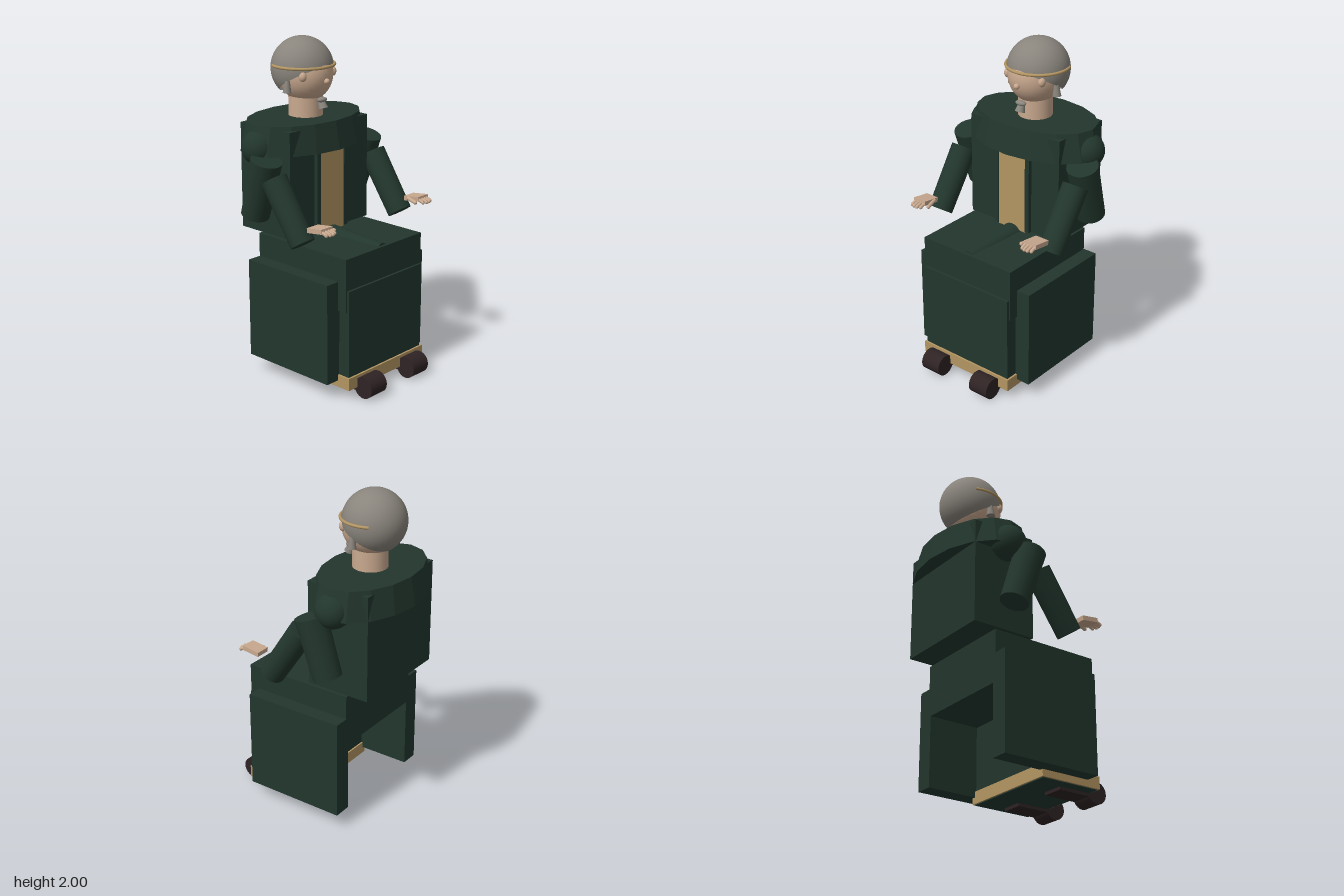
import * as THREE from 'three';

const paint = (name, color) => {
  const m = new THREE.MeshStandardMaterial({ color });
  m.name = name;
  return m;
};

export function createModel() {
  const root = new THREE.Group();
  root.name = 'seatedFigure';
  const green = paint('robe green', 0x22362d);
  const gold = paint('gold trim', 0xb39562);
  const skin = paint('skin', 0xc9a98f);
  const grey = paint('hair grey', 0x89847c);
  const brown = paint('shoe brown', 0x2f2324);

  const add = (name, geo, mat, x = 0, y = 0, z = 0) => {
    const mesh = new THREE.Mesh(geo, mat);
    mesh.name = name;
    mesh.position.set(x, y, z);
    root.add(mesh);
    return mesh;
  };
  // Box given by its min and max on each axis
  const box = (name, mat, x0, x1, y0, y1, z0, z1) =>
    add(name, new THREE.BoxGeometry(x1 - x0, y1 - y0, z1 - z0), mat,
      (x0 + x1) / 2, (y0 + y1) / 2, (z0 + z1) / 2);
  const ball = (name, mat, r, x, y, z, sx = 1, sy = 1, sz = 1) => {
    const m = add(name, new THREE.SphereGeometry(r, 32, 20), mat, x, y, z);
    m.scale.set(sx, sy, sz);
    return m;
  };
  // Tapered cylinder between two points
  const limb = (name, mat, a, b, ra, rb, seg = 20) => {
    const p = new THREE.Vector3(...a), q = new THREE.Vector3(...b);
    const d = q.clone().sub(p);
    const m = add(name, new THREE.CylinderGeometry(rb, ra, d.length(), seg), mat);
    m.position.copy(p).add(q).multiplyScalar(0.5);
    m.quaternion.setFromUnitVectors(new THREE.Vector3(0, 1, 0), d.normalize());
    return m;
  };

  // Skirt of the seated robe
  box('lap', green, -0.33, 0.33, 0.535, 0.855, -0.3, 0.4);
  box('shinPanel', green, -0.32, 0.32, 0.055, 0.665, 0.03, 0.415);
  box('hemTrim', gold, -0.332, 0.332, 0.06, 0.135, 0.02, 0.427);
  limb('lapFold', green, [0, 0.82, -0.22], [0, 0.823, 0.38], 0.083, 0.045);

  // Torso with gold front panel
  box('torso', green, -0.33, 0.33, 0.868, 1.51, -0.442, -0.035);
  box('frontPanel', gold, -0.1, 0.1, 0.86, 1.4, -0.05, -0.015);

  // Faceted elliptical mantle
  const mantle = new THREE.CylinderGeometry(0.405, 0.45, 0.17, 16).toNonIndexed();
  mantle.scale(1, 1, 0.645);
  mantle.computeVertexNormals();
  add('mantle', mantle, green, 0, 1.45, -0.245);

  // Neck and head
  add('neck', new THREE.CylinderGeometry(0.103, 0.103, 0.15, 28), skin, 0, 1.59, -0.23);
  ball('face', skin, 1, 0, 1.785, -0.23, 0.16, 0.172, 0.17);
  const cap = new THREE.SphereGeometry(0.187, 40, 24, 0, Math.PI * 2, 0, 1.97);
  const hairMat = grey;
  hairMat.side = THREE.DoubleSide;
  add('hair', cap, hairMat, 0, 1.813, -0.256).rotation.x = -0.52;
  ball('nose', skin, 0.017, 0, 1.755, -0.056);

  // Headband, open at the back
  const arc = Math.PI * 1.28;
  const band = new THREE.TorusGeometry(0.187, 0.009, 10, 48, arc);
  band.rotateZ(Math.PI / 2 - arc / 2);
  band.rotateX(Math.PI / 2);
  add('headband', band, gold, 0, 1.836, -0.25);

  // Moustache and beard
  ball('moustache', grey, 1, 0, 1.642, -0.095, 0.036, 0.016, 0.022);
  limb('beard', grey, [0, 1.64, -0.105], [0, 1.59, -0.085], 0.018, 0.03, 14);

  for (const s of [-1, 1]) {
    box('sidePanel', green, s * 0.365 - 0.055, s * 0.365 + 0.055, 0.1, 0.71, -0.3, 0.34);
    box('panelBorder', green, s * 0.115 - 0.015, s * 0.115 + 0.015, 0.868, 1.4, -0.05, -0.01);

    // Ear and side lock
    ball('ear', skin, 1, s * 0.125, 1.79, -0.13, 0.022, 0.03, 0.025);
    limb('sideLock', grey, [s * 0.166, 1.69, -0.218], [s * 0.16, 1.77, -0.218], 0.026, 0.013, 12);

    // Arm
    ball('shoulder', green, 0.106, s * 0.372, 1.4, -0.24);
    limb('upperArm', green, [s * 0.42, 1.005, -0.235], [s * 0.428, 1.355, -0.125], 0.085, 0.094);
    limb('forearm', green, [s * 0.423, 0.915, 0.155], [s * 0.423, 1.25, -0.07], 0.074, 0.078);

    // Hand with four fingers and a thumb
    const palm = box('palm', skin, s * 0.42 - 0.045, s * 0.42 + 0.045, 1.017, 1.045, 0.228, 0.34);
    palm.rotation.x = -0.13;
    for (let i = 0; i < 4; i++) {
      const x = s * (0.387 + i * 0.022);
      const reach = i === 0 || i === 3 ? 0.365 : 0.374;
      limb('finger', skin, [x, 1.035, 0.325], [x, 1.022, reach], 0.0105, 0.01, 10);
      ball('fingertip', skin, 0.0105, x, 1.02, reach);
    }
    limb('thumb', skin, [s * 0.378, 1.03, 0.255], [s * 0.355, 1.022, 0.33], 0.012, 0.011, 10);
    ball('thumbTip', skin, 0.012, s * 0.355, 1.022, 0.332);

    // Shoe with rounded toe
    box('shoe', brown, s * 0.19 - 0.066, s * 0.19 + 0.066, 0.036, 0.1, 0.2, 0.47);
    limb('shoeToe', brown, [s * 0.19 - 0.067, 0.067, 0.47], [s * 0.19 + 0.067, 0.067, 0.47], 0.066, 0.066, 24);
  }
  return root;
}
